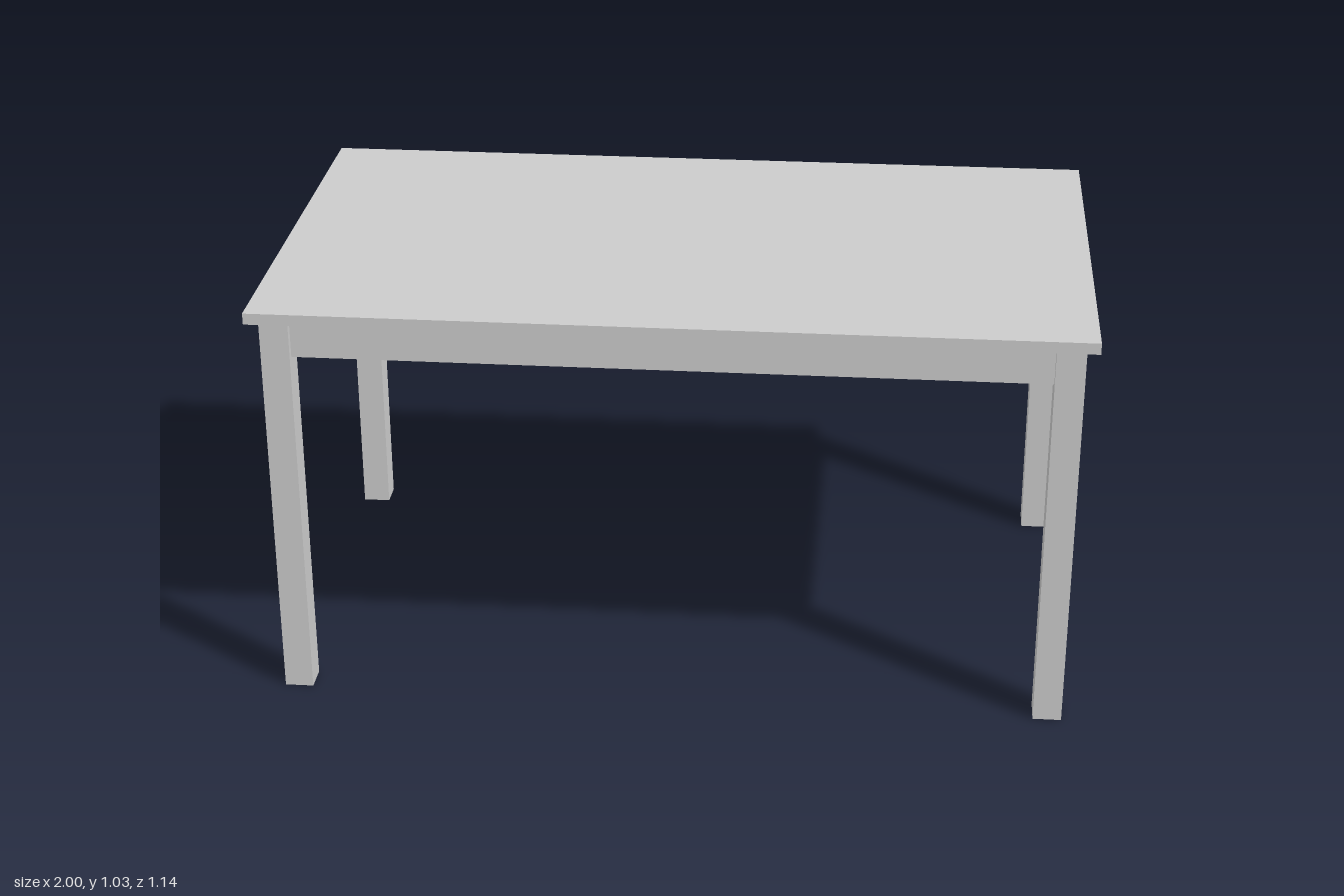
import * as THREE from 'three';

const TOP_Y = 1.03, LEG_H = 1.002, DEPTH = 1.143;
const LEG = 0.07, LEG_X = 0.936, LEG_Z = 0.508;
const APRON_H = 0.1, APRON_T = 0.036;

export function createModel() {
  const table = new THREE.Group();
  table.name = 'table';
  const material = new THREE.MeshStandardMaterial({ color: 0xcccccc, flatShading: true });
  const openMaterial = material.clone();
  openMaterial.side = THREE.DoubleSide;

  const add = (name, geometry, x, y, z, mat = material) => {
    const mesh = new THREE.Mesh(geometry, mat);
    mesh.name = name;
    mesh.position.set(x, y, z);
    table.add(mesh);
  };

  // Thin rectangular top
  add('tabletop', new THREE.BoxGeometry(2, TOP_Y - LEG_H, DEPTH), 0, (TOP_Y + LEG_H) / 2, 0);

  // Square hollow legs, open at the foot
  const r = LEG / Math.SQRT2;
  const legGeometry = new THREE.CylinderGeometry(r, r, LEG_H, 4, 1, true).rotateY(Math.PI / 4);
  for (const [sx, side] of [[1, 'Left'], [-1, 'Right']]) {
    for (const [sz, end] of [[1, 'front'], [-1, 'back']]) {
      add(`${end}${side}Leg`, legGeometry, sx * LEG_X, LEG_H / 2, sz * LEG_Z, openMaterial);
    }
  }

  // Aprons run between the legs, centred on their thickness
  const apronY = LEG_H - APRON_H / 2;
  const longApron = new THREE.BoxGeometry(2 * LEG_X - LEG, APRON_H, APRON_T);
  const shortApron = new THREE.BoxGeometry(APRON_T, APRON_H, 2 * LEG_Z - LEG);
  add('frontApron', longApron, 0, apronY, LEG_Z);
  add('backApron', longApron, 0, apronY, -LEG_Z);
  add('leftApron', shortApron, LEG_X, apronY, 0);
  add('rightApron', shortApron, -LEG_X, apronY, 0);

  return table;
}
